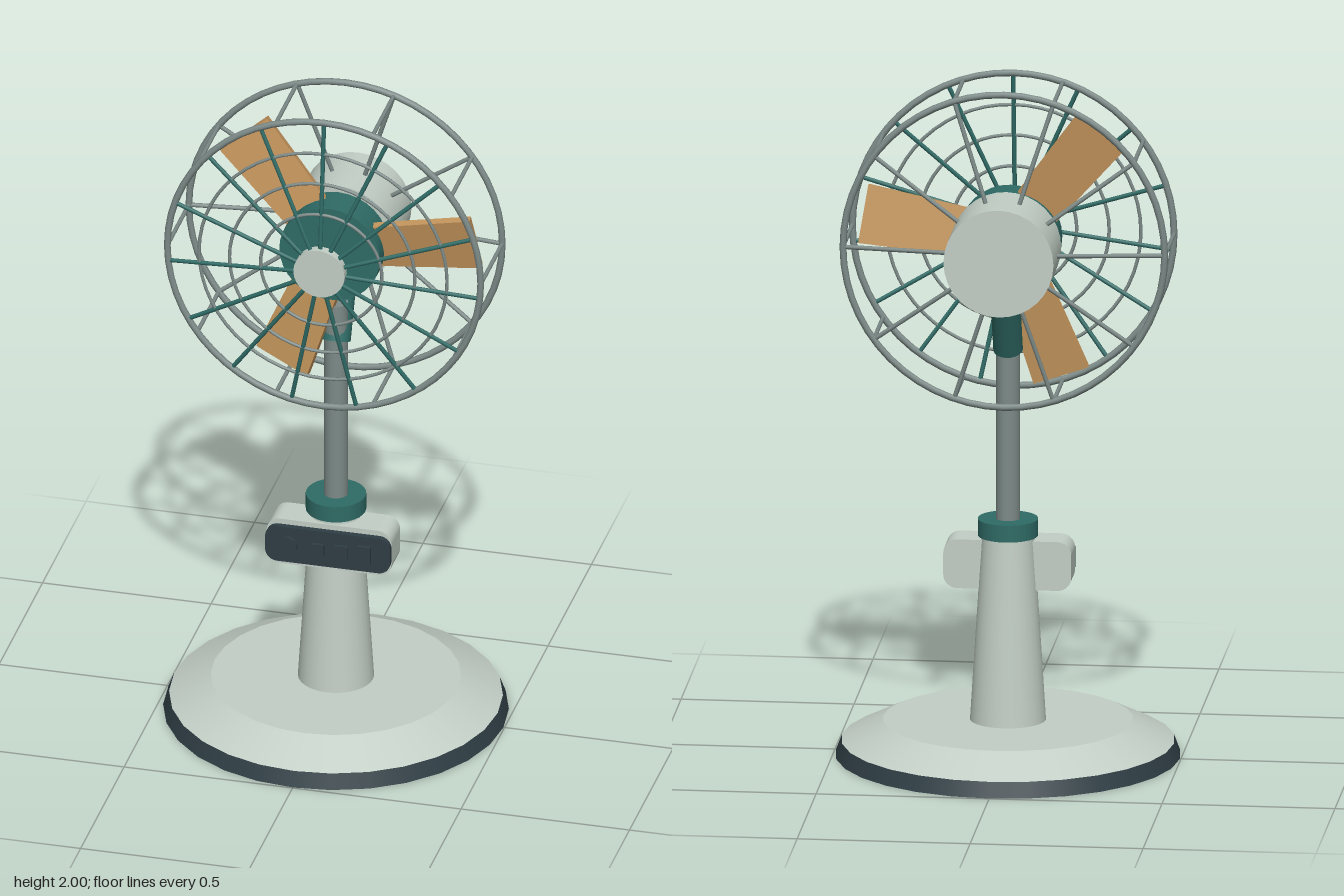
import * as THREE from 'three';

const mat = (name, color) => {
  const m = new THREE.MeshStandardMaterial({ color });
  m.name = name;
  return m;
};

export function createModel() {
  const shell = mat('pale shell', 0xc3cfc6);
  const teal = mat('teal', 0x2f6b66);
  const dark = mat('dark slate', 0x2f3e45);
  const metal = mat('grey metal', 0x7d8b88);
  const wood = mat('blade wood', 0xc4955c);

  const root = new THREE.Group();
  root.name = 'pedestalFan';
  const HEAD = 1.525, RIM = 0.465, FRONT = 0.138, BACK = -0.11;

  const add = (parent, name, geometry, material, x = 0, y = 0, z = 0) => {
    const mesh = new THREE.Mesh(geometry, material);
    mesh.name = name;
    mesh.position.set(x, y, z);
    parent.add(mesh);
    return mesh;
  };
  const upright = (name, rTop, rBottom, y0, y1, material, sides = 28) =>
    add(root, name, new THREE.CylinderGeometry(rTop, rBottom, y1 - y0, sides), material, 0, (y0 + y1) / 2, 0);
  // Round bar between two points
  const rod = (parent, name, a, b, r, material, sides = 8) => {
    const dir = b.clone().sub(a);
    const mesh = add(parent, name, new THREE.CylinderGeometry(r, r, dir.length(), sides), material);
    mesh.position.copy(a).add(b).multiplyScalar(0.5);
    mesh.quaternion.setFromUnitVectors(new THREE.Vector3(0, 1, 0), dir.normalize());
    return mesh;
  };
  const polar = (r, angle, z) => new THREE.Vector3(r * Math.cos(angle), r * Math.sin(angle), z);
  const axial = (parent, name, r, z0, z1, material, sides = 32) =>
    rod(parent, name, new THREE.Vector3(0, 0, z0), new THREE.Vector3(0, 0, z1), r, material, sides);
  // Rounded rectangle plate extruded along z
  const plate = (w, h, r, depth) => {
    const s = new THREE.Shape(), x = w / 2, y = h / 2;
    s.absarc(x - r, y - r, r, 0, Math.PI / 2);
    s.absarc(-x + r, y - r, r, Math.PI / 2, Math.PI);
    s.absarc(-x + r, -y + r, r, Math.PI, Math.PI * 1.5);
    s.absarc(x - r, -y + r, r, Math.PI * 1.5, Math.PI * 2);
    return new THREE.ExtrudeGeometry(s, { depth, bevelEnabled: false, curveSegments: 6 });
  };

  // Base, column and pole
  upright('baseFoot', 0.48, 0.497, 0, 0.045, dark);
  upright('baseCover', 0.36, 0.48, 0.045, 0.105, shell);
  upright('column', 0.075, 0.11, 0.1, 0.655, shell);
  upright('columnCollar', 0.087, 0.087, 0.652, 0.702, teal);
  upright('pole', 0.035, 0.035, 0.7, 1.33, metal, 20);

  // Control box with knob and buttons
  add(root, 'controlBox', plate(0.37, 0.145, 0.04, 0.1), shell, 0, 0.567, -0.02);
  add(root, 'controlPanel', plate(0.37, 0.113, 0.035, 0.018), dark, 0, 0.567, 0.08);
  const knob = add(root, 'knob', new THREE.CylinderGeometry(0.028, 0.028, 0.01, 16), dark, -0.117, 0.567, 0.102);
  knob.rotation.x = Math.PI / 2;
  [[-0.028, 0.034], [0.042, 0.04], [0.11, 0.055]].forEach(([x, h]) =>
    add(root, 'button', new THREE.BoxGeometry(0.038, h, 0.01), dark, x, 0.567, 0.102));

  // Tilting neck
  rod(root, 'neck', new THREE.Vector3(0, 1.205, 0.002), new THREE.Vector3(0, 1.385, -0.075), 0.043, teal, 20);

  // Head: motor, hub and blades
  const head = new THREE.Group();
  head.name = 'head';
  head.position.y = HEAD;
  root.add(head);
  axial(head, 'motorHousing', 0.159, -0.253, -0.045, shell);
  axial(head, 'shaft', 0.05, -0.046, -0.026, teal, 20);
  axial(head, 'hub', 0.149, -0.028, 0.075, teal);

  for (let i = 0; i < 3; i++) {
    const arm = new THREE.Group();
    arm.name = 'bladeArm';
    arm.rotation.z = THREE.MathUtils.degToRad(9 + i * 120);
    head.add(arm);
    const outline = new THREE.Shape([[0.12, -0.07], [0.425, -0.086], [0.425, 0.086], [0.12, 0.07]]
      .map(([x, y]) => new THREE.Vector2(x, y)));
    const blade = new THREE.ExtrudeGeometry(outline, { depth: 0.024, bevelEnabled: false });
    blade.translate(0, 0, -0.012);
    add(arm, 'blade', blade, wood, 0, 0, 0.018).rotation.x = 0.19;
  }

  // Guard rims and concentric front rings
  const cage = new THREE.Group();
  cage.name = 'guard';
  head.add(cage);
  const CAP = 0.07, CAP_Z = 0.182;
  const frontZ = (r) => CAP_Z + (FRONT - CAP_Z) * (r - CAP) / (RIM - CAP);
  const ring = (name, r, tube, z) => add(cage, name, new THREE.TorusGeometry(r, tube, 8, 56), metal, 0, 0, z);
  ring('frontRim', RIM, 0.01, FRONT);
  ring('backRim', RIM, 0.01, BACK);
  [0.18, 0.275, 0.368].forEach((r) => ring('frontRing', r, 0.005, frontZ(r)));
  axial(cage, 'guardCap', 0.076, 0.17, 0.197, shell, 24);

  // Front spokes
  for (let i = 0; i < 15; i++) {
    const a = THREE.MathUtils.degToRad(18 + i * 24);
    rod(cage, 'frontSpoke', polar(CAP - 0.01, a, CAP_Z), polar(RIM, a, FRONT), 0.0065, teal);
  }
  // Back spokes and the bars joining the two rims
  for (let i = 0; i < 10; i++) {
    const a = i * Math.PI / 5;
    rod(cage, 'backSpoke', polar(0.152, a, -0.146), polar(RIM, a, BACK), 0.0065, metal);
    rod(cage, 'rimBar', polar(RIM, a, BACK), polar(RIM, a, FRONT), 0.0065, metal);
  }
  return root;
}
